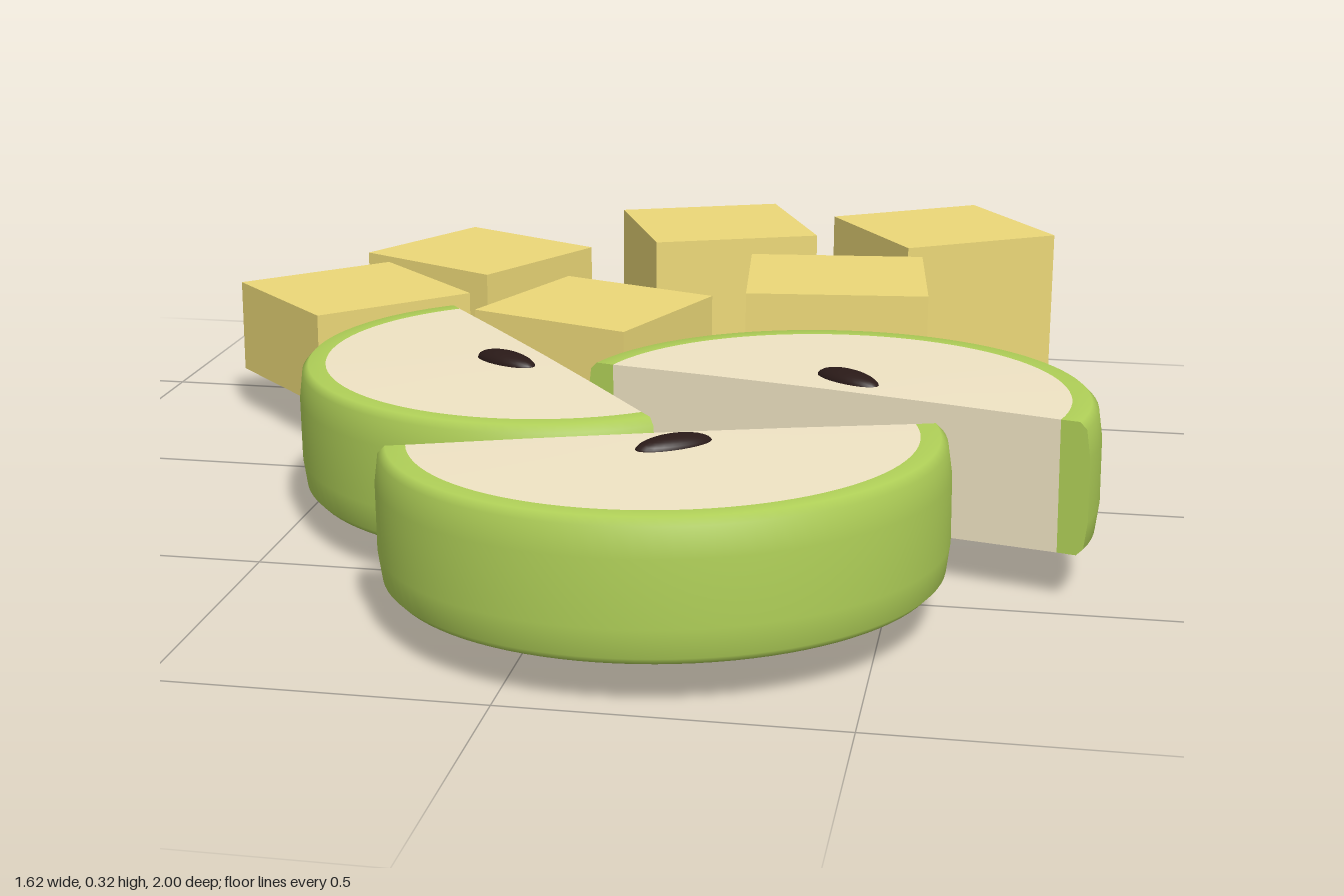
import * as THREE from 'three';
import { toCreasedNormals } from 'three/addons/utils/BufferGeometryUtils.js';

const material = (color) => new THREE.MeshStandardMaterial({ color });
const cheese = material(0xecd878);
const skin = material(0xb0d058);
const flesh = material(0xf0e4c4);
const seedBlack = material(0x2a1a18);

function add(parent, name, geometry, mat) {
  const mesh = new THREE.Mesh(geometry, mat);
  mesh.name = name;
  parent.add(mesh);
  return mesh;
}

const points = (list) => list.map(([x, y]) => new THREE.Vector2(x, y));
// lower half of a profile, followed by its mirror image
const mirrored = (half) => [...half, ...half.map(([x, y]) => [x, -y]).reverse()];

const fleshProfile = mirrored([[0, -0.108], [0.2, -0.107], [0.38, -0.105]]);
const skinProfile = mirrored([[0.38, -0.105], [0.41, -0.105], [0.421, -0.094], [0.427, -0.05]]);

const halfLathe = (profile) => new THREE.LatheGeometry(points(profile), 48, -Math.PI / 2, Math.PI);
// flat face on the cut plane, looking towards -z
const cutFace = (profile) => new THREE.ShapeGeometry(new THREE.Shape(points(profile))).rotateY(Math.PI);

// Half-round fruit slice, its cut on the local z = 0 plane
function makeSlice() {
  const slice = new THREE.Group();
  const body = new THREE.Group();
  body.name = 'sliceBody';
  body.scale.z = 0.94;
  add(body, 'flesh', toCreasedNormals(halfLathe(fleshProfile), Math.PI / 6), flesh);
  add(body, 'skin', halfLathe(skinProfile), skin);
  for (const side of [-1, 1]) {
    const flip = (profile) => profile.map(([x, y]) => [x * side, y]);
    add(body, 'fleshCut', cutFace(flip(fleshProfile)), flesh);
    add(body, 'skinCut', cutFace(flip(skinProfile)), skin);
  }
  slice.add(body);
  return slice;
}

export function createModel() {
  const model = new THREE.Group();
  model.name = 'snackPieces';

  // Cheese blocks: x, z, turn, height, centre y
  const blocks = [
    [-0.43, -0.705, -0.49, 0.17, 0.165],
    [-0.585, -0.34, -0.8, 0.17, 0.165],
    [-0.115, -0.305, -0.36, 0.17, 0.165],
    [0.05, -0.73, 0.385, 0.32, 0.16],
    [0.49, -0.78, 0.56, 0.32, 0.16],
    [0.33, -0.315, 0.105, 0.32, 0.16],
  ];
  for (const [x, z, turn, height, y] of blocks) {
    const block = add(model, 'cheeseBlock', new THREE.BoxGeometry(0.318, height, 0.318), cheese);
    block.position.set(x, y, z);
    block.rotation.y = turn;
  }

  // Fruit slices: centre of the cut, turn, and the seed's place and turn
  const slices = [
    { at: [-0.105, 0.168, 0.172], turn: -0.947, seed: [-0.158, 0.22], seedTurn: -0.59 },
    { at: [0.385, 0.178, 0.333], turn: 2.84, seed: [0.41, 0.27], seedTurn: -0.67 },
    { at: [0.17, 0.173, 0.597], turn: 0.279, seed: [0.195, 0.655], seedTurn: 0.67 },
  ];
  for (const { at, turn, seed, seedTurn } of slices) {
    const slice = makeSlice();
    slice.name = 'fruitSlice';
    slice.position.set(...at);
    // slight lean, rising towards +x
    slice.rotation.set(0, turn, 0.015, 'ZYX');
    model.add(slice);

    const pip = add(model, 'seed', new THREE.SphereGeometry(1, 24, 16), seedBlack);
    pip.scale.set(0.063, 0.018, 0.027);
    pip.position.set(seed[0], at[1] + 0.106, seed[1]);
    pip.rotation.y = seedTurn;
  }
  return model;
}
